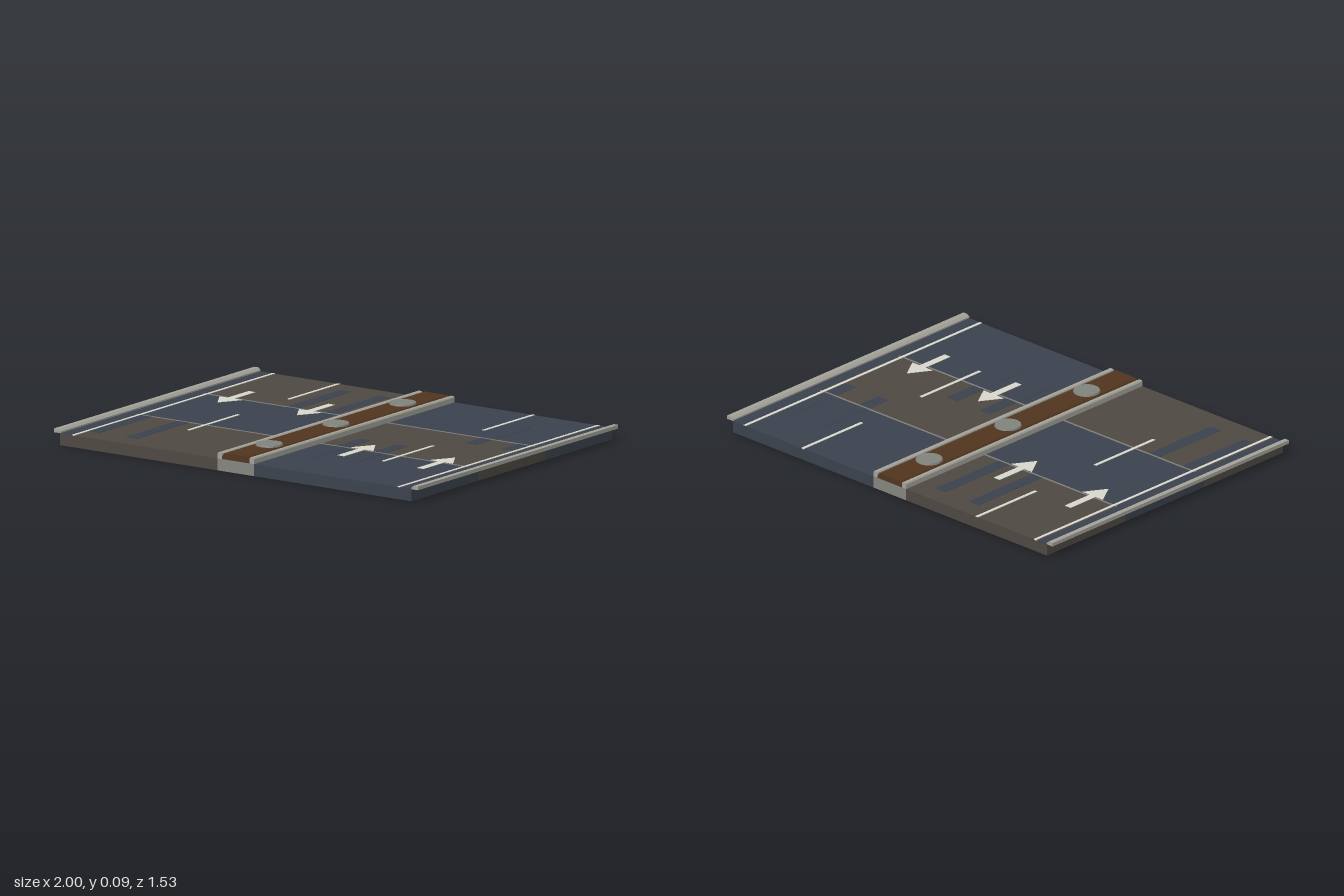
import * as THREE from 'three';

const mat = (color) => new THREE.MeshStandardMaterial({ color });
const M = {
  blue: mat(0x3b424d), brown: mat(0x4e4842), soil: mat(0x50351f),
  concrete: mat(0x85857f), curb: mat(0xa3a299), disc: mat(0x7f837c),
  paint: mat(0xd6d6cd), joint: mat(0x7d7c77),
};
const L = 1.53, TOP = 0.055;

export function createModel() {
  const root = new THREE.Group();
  const add = (name, geo, material, x = 0, y = 0, z = 0) => {
    const m = new THREE.Mesh(geo, material);
    m.name = name;
    m.position.set(x, y, z);
    root.add(m);
    return m;
  };
  // Box given by its extents
  const box = (name, material, x0, x1, y0, y1, z0, z1) =>
    add(name, new THREE.BoxGeometry(x1 - x0, y1 - y0, z1 - z0), material,
      (x0 + x1) / 2, (y0 + y1) / 2, (z0 + z1) / 2);
  // Thin surface layer lying on the road
  const layer = (name, material, x0, x1, z0, z1, h) =>
    box(name, material, x0, x1, TOP - 0.003, TOP + h, z0, z1);
  // x,y cross-section running the full length of the road
  const strip = (name, material, points) => {
    const shape = new THREE.Shape(points.map((p) => new THREE.Vector2(...p)));
    add(name, new THREE.ExtrudeGeometry(shape, { depth: L, bevelEnabled: false }),
      material, 0, 0, -L / 2);
  };

  // Road slabs: three per carriageway, in alternating colours
  const third = L / 3;
  for (const s of [-1, 1]) {
    for (let i = 0; i < 3; i++) {
      const z0 = -L / 2 + i * third;
      const material = (i % 2 === 0) === (s < 0) ? M.brown : M.blue;
      const [x0, x1] = s < 0 ? [-0.965, -0.1] : [0.1, 0.965];
      box('roadSlab', material, x0, x1, 0, TOP, z0, z0 + third);
    }
    const span = (a, b) => (s < 0 ? [-b, -a] : [a, b]);

    // Gutter, expansion joints and lane markings
    layer('gutter', M.blue, ...span(0.91, 0.965), -L / 2, L / 2, 0.0005);
    for (const z of [-third / 2, third / 2])
      layer('joint', M.joint, ...span(0.1, 0.91), z - 0.005, z + 0.005, 0.0015);
    layer('edgeLine', M.paint, ...span(0.885, 0.9), -L / 2, L / 2, 0.002);
    for (const z of [-L / 2, 0])
      layer('laneDash', M.paint, ...span(0.527, 0.543), z, z + L / 4, 0.002);

    // Outer curb and median curb
    strip('outerCurb', M.curb, [[0.964, 0.055], [1, 0.055], [1, 0.072], [0.976, 0.072], [0.964, 0.062]]
      .map(([x, y]) => [s * x, y]));
    strip('medianCurb', M.curb, [[0.076, TOP], [0.1, TOP], [0.1, 0.077], [0.096, 0.083], [0.08, 0.083], [0.076, 0.079]]
      .map(([x, y]) => [s * x, y]));
  }

  // Long repair patches in the lanes
  const patches = [
    [-0.425, -0.67, -0.25], [-0.22, -0.67, -0.25], [-0.855, 0.24, 0.66], [-0.652, 0.24, 0.66],
    [0.648, -0.54, -0.125], [0.85, -0.54, -0.125], [0.215, 0.075, 0.49], [0.418, 0.075, 0.49],
  ];
  for (const [x, z0, z1] of patches)
    layer('repairPatch', M.blue, x - 0.031, x + 0.031, z0, z1, 0.001);

  // Direction arrows, tip towards +y of the shape
  const arrow = new THREE.Shape([
    [-0.018, -0.132], [0.018, -0.132], [0.018, 0.03], [0.062, 0.03],
    [0, 0.132], [-0.062, 0.03], [-0.018, 0.03],
  ].map((p) => new THREE.Vector2(...p)));
  const arrowGeo = new THREE.ExtrudeGeometry(arrow, { depth: 0.005, bevelEnabled: false });
  arrowGeo.rotateX(-Math.PI / 2);
  for (const x of [-0.755, -0.318, 0.318, 0.755]) {
    const m = add('laneArrow', arrowGeo, M.paint, x, TOP - 0.003, x < 0 ? -0.276 : 0.272);
    if (x < 0) m.rotation.y = Math.PI;
  }

  // Median base, raised soil bed and round covers
  box('medianBase', M.concrete, -0.1, 0.1, 0, TOP, -L / 2, L / 2);
  strip('soilBed', M.soil, [[-0.076, TOP], [0.076, TOP], [0.076, 0.065], [0.062, 0.083], [-0.062, 0.083], [-0.076, 0.065]]);
  for (const z of [-0.51, 0, 0.51])
    add('medianDisc', new THREE.CylinderGeometry(0.059, 0.063, 0.012, 24), M.disc, 0, 0.085, z);

  return root;
}
